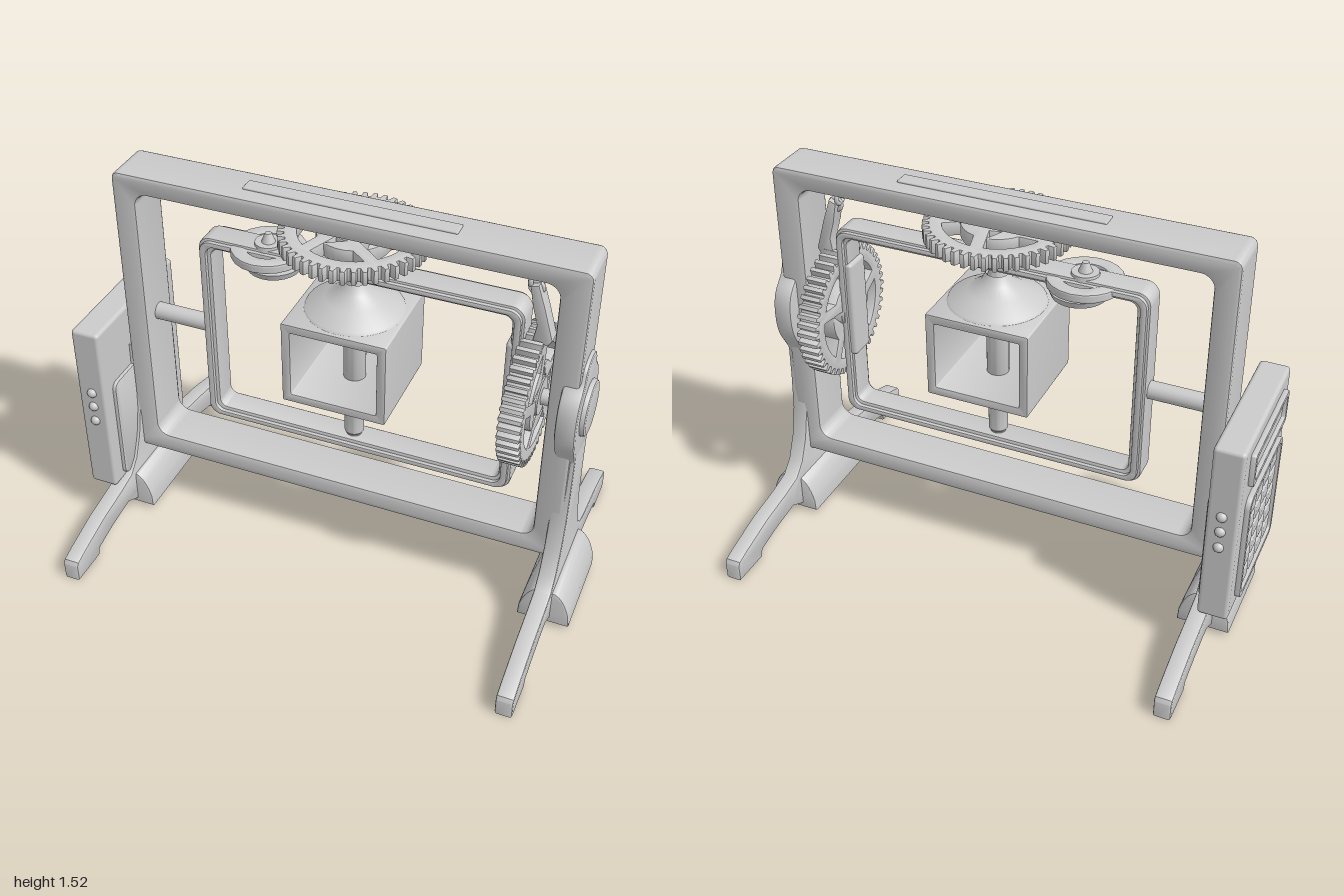
import * as THREE from 'three';
import { toCreasedNormals } from 'three/addons/utils/BufferGeometryUtils.js';
import { RoundedBoxGeometry } from 'three/addons/geometries/RoundedBoxGeometry.js';

const material = new THREE.MeshStandardMaterial({ color: 0xcccccc });

export function createModel() {
  const model = new THREE.Group();

  const add = (name, geo, x = 0, y = 0, z = 0) => {
    const mesh = new THREE.Mesh(geo, material);
    mesh.name = name;
    mesh.position.set(x, y, z);
    model.add(mesh);
    return mesh;
  };

  // Box given by its extents, with softened edges
  const block = (name, x0, x1, y0, y1, z0, z1, r = 0.01) =>
    add(name, new RoundedBoxGeometry(x1 - x0, y1 - y0, z1 - z0, 2, r),
      (x0 + x1) / 2, (y0 + y1) / 2, (z0 + z1) / 2);

  // Extrusion centred on its own axis; for 'x' the shape is drawn in (z, y)
  const prism = (shape, depth, axis = 'z', bevel = 0.008) => {
    const geo = new THREE.ExtrudeGeometry(shape, {
      depth: depth - 2 * bevel, bevelThickness: bevel, bevelSize: bevel,
      bevelOffset: -bevel, bevelSegments: 2, curveSegments: 10,
    });
    geo.translate(0, 0, -depth / 2 + bevel);
    if (axis === 'x') geo.rotateY(-Math.PI / 2);
    if (axis === 'y') geo.rotateX(-Math.PI / 2);
    return toCreasedNormals(geo, 0.6);
  };

  const roundRect = (path, x0, x1, y0, y1, r) => {
    path.moveTo(x0 + r, y0);
    path.lineTo(x1 - r, y0).absarc(x1 - r, y0 + r, r, -Math.PI / 2, 0);
    path.lineTo(x1, y1 - r).absarc(x1 - r, y1 - r, r, 0, Math.PI / 2);
    path.lineTo(x0 + r, y1).absarc(x0 + r, y1 - r, r, Math.PI / 2, Math.PI);
    path.lineTo(x0, y0 + r).absarc(x0 + r, y0 + r, r, Math.PI, Math.PI * 1.5);
    return path;
  };
  const frameShape = (outer, inner) => {
    const shape = roundRect(new THREE.Shape(), ...outer);
    shape.holes.push(roundRect(new THREE.Path(), ...inner));
    return shape;
  };

  const cylinder = (r0, r1, length, axis = 'y') => {
    const geo = new THREE.CylinderGeometry(r0, r1, length, 32);
    if (axis === 'x') geo.rotateZ(-Math.PI / 2);
    return geo;
  };

  // Toothed wheel with swept spokes
  const gearShape = (radius, teeth, spokes, twist) => {
    const polar = (r, a) => new THREE.Vector2(r * Math.cos(a), r * Math.sin(a));
    const points = [];
    for (let i = 0; i < teeth; i++) {
      const step = (Math.PI * 2) / teeth;
      [[0, 0.91], [0.28, 0.91], [0.42, 1], [0.83, 1]].forEach(([t, f]) =>
        points.push(polar(radius * f, (i + t) * step)));
    }
    const shape = new THREE.Shape(points);
    for (let k = 0; k < spokes; k++) {
      const sector = (Math.PI * 2) / spokes, start = k * sector;
      const hole = [];
      for (let j = 0; j <= 8; j++)
        hole.push(polar(radius * 0.74, start + twist + sector * (0.1 + 0.1 * j)));
      for (let j = 4; j >= 0; j--)
        hole.push(polar(radius * 0.5, start + twist * 0.6 + sector * (0.14 + 0.18 * j)));
      for (let j = 2; j >= 0; j--)
        hole.push(polar(radius * 0.28, start + sector * (0.25 + 0.25 * j)));
      shape.holes.push(new THREE.Path(hole));
    }
    return shape;
  };

  // Outer and inner frames
  add('outerFrame', prism(frameShape(
    [-0.85, 0.91, 0.26, 1.52, 0.03], [-0.76, 0.805, 0.34, 1.445, 0.05]), 0.19, 'z', 0.012));
  add('innerFrame', prism(frameShape(
    [-0.54, 0.69, 0.49, 1.3, 0.05], [-0.49, 0.645, 0.535, 1.255, 0.03]), 0.1));
  for (const s of [1, -1])
    add('innerFrameRim', prism(frameShape(
      [-0.53, 0.68, 0.5, 1.29, 0.045], [-0.505, 0.655, 0.52, 1.27, 0.035]), 0.02, 'z', 0.004), 0, 0, s * 0.055);
  block('topRidge', -0.36, 0.43, 1.51, 1.527, -0.03, 0.03, 0.005);

  // Vertical spindle carrying the open box
  const spindle = [[0, 0.475], [0.03, 0.48], [0.03, 0.54], [0.037, 0.55], [0.037, 0.74],
    [0.042, 0.75], [0.042, 1.2], [0.03, 1.24], [0.03, 1.44], [0, 1.44]];
  add('spindle', toCreasedNormals(new THREE.LatheGeometry(
    spindle.map(p => new THREE.Vector2(...p)), 28), 0.6), 0.055);
  const collar = [[0.19, 1.105], [0.18, 1.125], [0.11, 1.16], [0.06, 1.195], [0.042, 1.23]];
  add('spindleCollar', new THREE.LatheGeometry(
    collar.map(p => new THREE.Vector2(...p)), 32), 0.055);
  add('openBox', prism(frameShape(
    [-0.15, 0.25, 0.775, 1.115, 0.006], [-0.115, 0.215, 0.81, 1.08, 0.004]), 0.4, 'z', 0.005), 0, 0, 0);

  // Top gear
  add('topGear', prism(gearShape(0.268, 44, 5, 0.35), 0.055, 'y', 0.005), 0.05, 1.405, 0);
  add('topGearHub', cylinder(0.06, 0.06, 0.08), 0.05, 1.4, 0);

  // Pulley clamped on the inner frame
  const ring = new THREE.Shape().absarc(0, 0, 0.14, 0, Math.PI * 2);
  ring.holes.push(new THREE.Path().absarc(0, 0, 0.085, 0, Math.PI * 2));
  add('pulleyRing', prism(ring, 0.035, 'y'), -0.28, 1.275, 0);
  add('pulleyLowerRing', cylinder(0.11, 0.1, 0.025), -0.26, 1.225, 0);
  add('pulleyHub', cylinder(0.05, 0.06, 0.08), -0.28, 1.27, 0);
  add('pulleyPin', cylinder(0.012, 0.035, 0.06), -0.28, 1.315, 0);
  block('pulleyArm', -0.42, -0.13, 1.245, 1.285, -0.035, 0.035, 0.012);

  // Side gear, its bearing plate and axles
  add('sideGear', prism(gearShape(0.262, 44, 5, 0.3), 0.085, 'x', 0.006), 0.717, 0.92, 0);
  add('sideGearHub', cylinder(0.07, 0.07, 0.1, 'x'), 0.715, 0.92, 0);
  block('bearingPlate', 0.63, 0.68, 0.75, 1.15, -0.055, 0.055, 0.015);
  add('rightAxle', cylinder(0.03, 0.03, 0.2, 'x'), 0.78, 0.92, 0);
  add('leftAxle', cylinder(0.034, 0.034, 0.26, 'x'), -0.645, 0.885, 0);

  // Hanging pawl above the side gear
  const pawl = new THREE.Shape([[0.69, 1.38], [0.72, 1.39], [0.75, 1.3], [0.785, 1.18],
    [0.77, 1.155], [0.715, 1.165], [0.725, 1.23], [0.705, 1.3]].map(p => new THREE.Vector2(...p)));
  add('pawl', prism(pawl, 0.06, 'z', 0.006));
  for (let i = 0; i < 3; i++) {
    const link = add('chainLink', new THREE.TorusGeometry(0.022, 0.009, 8, 16), 0.67 + 0.018 * i, 1.425 - 0.03 * i, 0);
    link.rotation.y = i * Math.PI / 2;
  }
  block('chainMount', 0.625, 0.735, 1.415, 1.45, -0.03, 0.03);

  // Legs: mirrored half profile in (z, y)
  const half = [[0.085, 0.75], [0.088, 0.6], [0.097, 0.45], [0.125, 0.33], [0.165, 0.24], [0.215, 0.19],
    [0.3, 0.17], [0.45, 0.147], [0.6, 0.108], [0.655, 0.09], [0.665, 0.075], [0.665, 0.005],
    [0.51, 0.005], [0.5, 0.035], [0.4, 0.058], [0.26, 0.078], [0.22, 0.055], [0.19, 0.04]];
  const leg = new THREE.Shape([...half, ...half.map(([z, y]) => [-z, y]).reverse()]
    .map(p => new THREE.Vector2(...p)));
  const barrel = new THREE.Shape().moveTo(-0.1, 0.02).lineTo(0.1, 0.02);
  barrel.lineTo(0.097, 0.07).bezierCurveTo(0.08, 0.14, 0.05, 0.172, 0.03, 0.172);
  barrel.lineTo(-0.03, 0.172).bezierCurveTo(-0.05, 0.172, -0.08, 0.14, -0.097, 0.07);
  for (const [side, legX, barrelX] of [['left', 0.893, 0.9], ['right', -0.865, -0.863]]) {
    add(side + 'Leg', prism(leg, 0.065, 'x'), legX, 0, 0);
    add(side + 'FootBarrel', prism(barrel, 0.38), barrelX, 0, 0);
  }

  // Round bearing on the left post
  const ear = new THREE.Shape().moveTo(-0.085, 0.72).lineTo(0.085, 0.72);
  ear.bezierCurveTo(0.1, 0.78, 0.155, 0.8, 0.155, 0.92);
  ear.bezierCurveTo(0.155, 1.05, 0.09, 1.03, 0.075, 1.1);
  ear.quadraticCurveTo(0.06, 1.14, 0, 1.14).quadraticCurveTo(-0.06, 1.14, -0.075, 1.1);
  ear.bezierCurveTo(-0.09, 1.03, -0.155, 1.05, -0.155, 0.92);
  ear.bezierCurveTo(-0.155, 0.8, -0.1, 0.78, -0.085, 0.72);
  add('bearingHousing', prism(ear, 0.075, 'x', 0.012), 0.888, 0, 0);
  add('bearingCap', prism(new THREE.Shape().absarc(0, 0, 0.105, 0, Math.PI * 2), 0.05, 'x', 0.012), 0.92, 0.92, 0);

  // Control box with inner cover, display and keypad
  block('controlBox', -0.975, -0.86, 0.18, 0.925, -0.295, 0.295, 0.015);
  add('innerCover', prism(roundRect(new THREE.Shape(), -0.235, 0.235, 0.2, 0.66, 0.03), 0.03, 'x'), -0.86, 0, 0);
  add('displayFrame', prism(frameShape(
    [-0.22, 0.22, 0.74, 0.875, 0.012], [-0.2, 0.2, 0.76, 0.855, 0.008]), 0.03, 'x', 0.004), -0.98, 0, 0);
  block('display', -0.985, -0.96, 0.775, 0.84, -0.185, 0.185, 0.006);
  add('keypadFrame', prism(frameShape(
    [-0.22, 0.22, 0.22, 0.68, 0.04], [-0.2, 0.2, 0.24, 0.66, 0.03]), 0.03, 'x', 0.004), -0.98, 0, 0);
  for (let row = 0; row < 5; row++)
    for (let col = 0; col < 4; col++) {
      const y = 0.29 + row * 0.08, z = -0.141 + col * 0.094;
      block('key', -0.988, -0.96, y - 0.033, y + 0.033, z - 0.04, z + 0.04, 0.008);
    }
  for (const s of [1, -1])
    for (const y of [0.51, 0.58, 0.645])
      add('sideButton', new THREE.SphereGeometry(0.02, 16, 10), -0.915, y, s * 0.293);

  return model;
}
